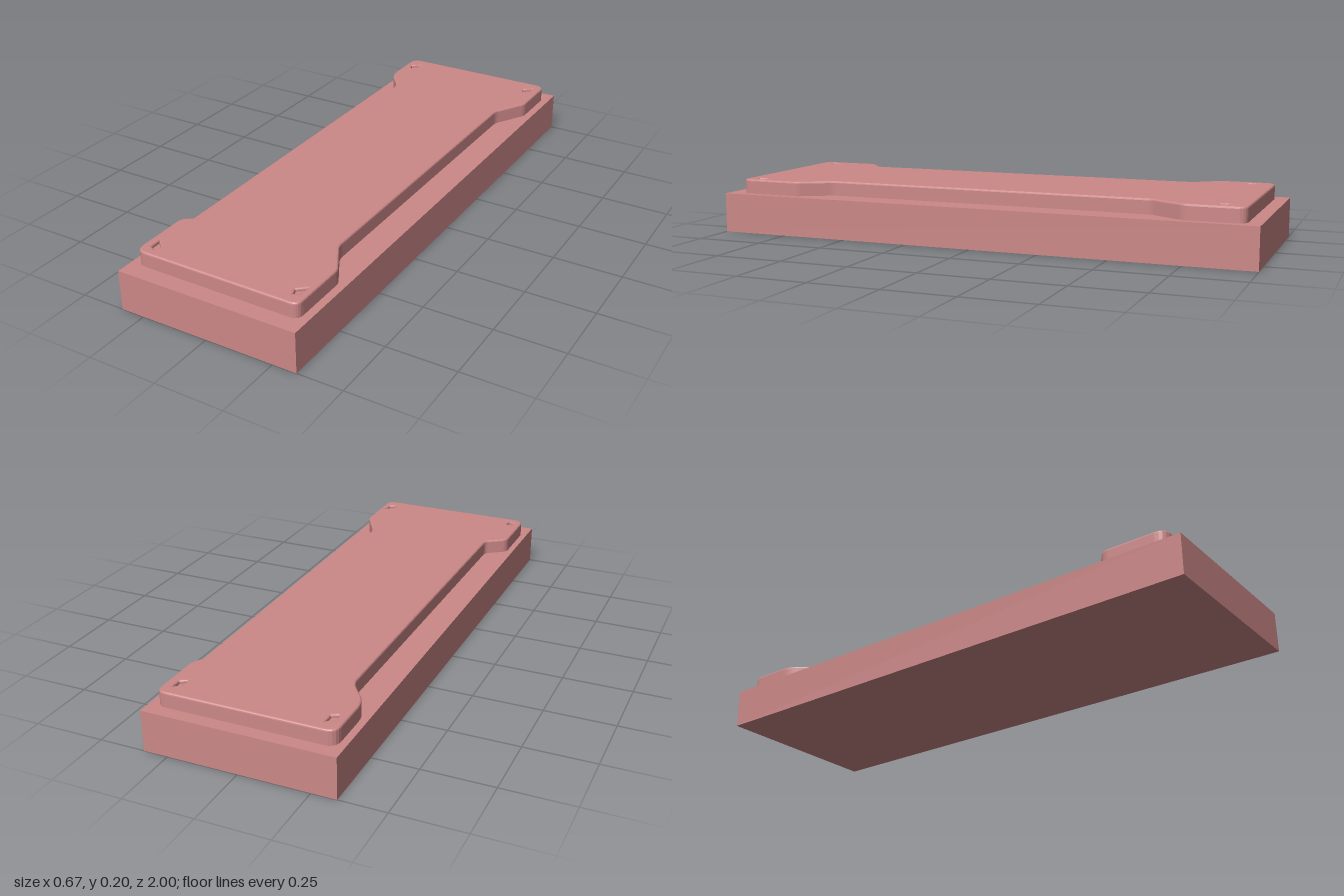
import * as THREE from 'three';

const BASE_TOP = 0.146, TOP = 0.2, BEVEL = 0.007;

// Shape from [x, z, cornerRadius] points; shape y is -z
function roundedOutline(points) {
  const shape = new THREE.Shape();
  const v = points.map(([x, z]) => new THREE.Vector2(x, -z));
  const n = v.length;
  v.forEach((p, i) => {
    const r = points[i][2];
    const toward = (q) => p.clone().add(q.clone().sub(p).setLength(r));
    const a = toward(v[(i + n - 1) % n]), b = toward(v[(i + 1) % n]);
    if (i === 0) shape.moveTo(a.x, a.y);
    else shape.lineTo(a.x, a.y);
    shape.quadraticCurveTo(p.x, p.y, b.x, b.y);
  });
  shape.closePath();
  return shape;
}

// Small slanted pit outline around a corner point
function pitPoints([x, z, s]) {
  return [[-0.016, 0], [-0.008, 0.024], [0.013, 0.012], [0.014, -0.026]]
    .map(([dx, dz]) => new THREE.Vector2(x + s * dx, -(z + dz)));
}

// Upright extrusion between two heights
function slab(shape, y0, y1, bevel) {
  const g = new THREE.ExtrudeGeometry(shape, {
    depth: y1 - y0 - 2 * bevel, curveSegments: 5,
    bevelEnabled: bevel > 0, bevelThickness: bevel, bevelSize: bevel,
    bevelOffset: -bevel, bevelSegments: 3,
  });
  return g.rotateX(-Math.PI / 2).translate(0, y0 + bevel, 0);
}

export function createModel() {
  const group = new THREE.Group();
  const material = new THREE.MeshStandardMaterial({ color: 0xcc8888 });
  const add = (name, geometry) => {
    const mesh = new THREE.Mesh(geometry, material);
    mesh.name = name;
    group.add(mesh);
  };

  // Rectangular block
  add('base', new THREE.BoxGeometry(0.674, BASE_TOP, 2).translate(0, BASE_TOP / 2, 0));

  // Raised plate with a narrowed waist, slightly uneven from side to side
  const plate = roundedOutline([
    [-0.312, -0.952, 0.04], [-0.312, -0.75, 0.04], [-0.238, -0.655, 0.03],
    [-0.238, 0.65, 0.015], [-0.314, 0.705, 0.02], [-0.314, 0.937, 0.04],
    [0.308, 0.94, 0.03], [0.308, 0.71, 0.015], [0.236, 0.585, 0.02],
    [0.236, -0.62, 0.015], [0.308, -0.745, 0.015], [0.308, -0.952, 0.035],
  ]);

  // Shallow pits near the four corners, each with its own floor
  const pits = [[-0.27, -0.88, 1], [0.26, -0.88, 1], [-0.27, 0.88, -1], [0.27, 0.87, 1]];
  for (const pit of pits) {
    const points = pitPoints(pit);
    plate.holes.push(new THREE.Path(points));
    add('pitFloor', slab(new THREE.Shape(points), BASE_TOP - 0.01, TOP - 0.012, 0));
  }

  // The lower bevel sits inside the base
  add('raisedPlate', slab(plate, BASE_TOP - 0.012, TOP, BEVEL));
  return group;
}
